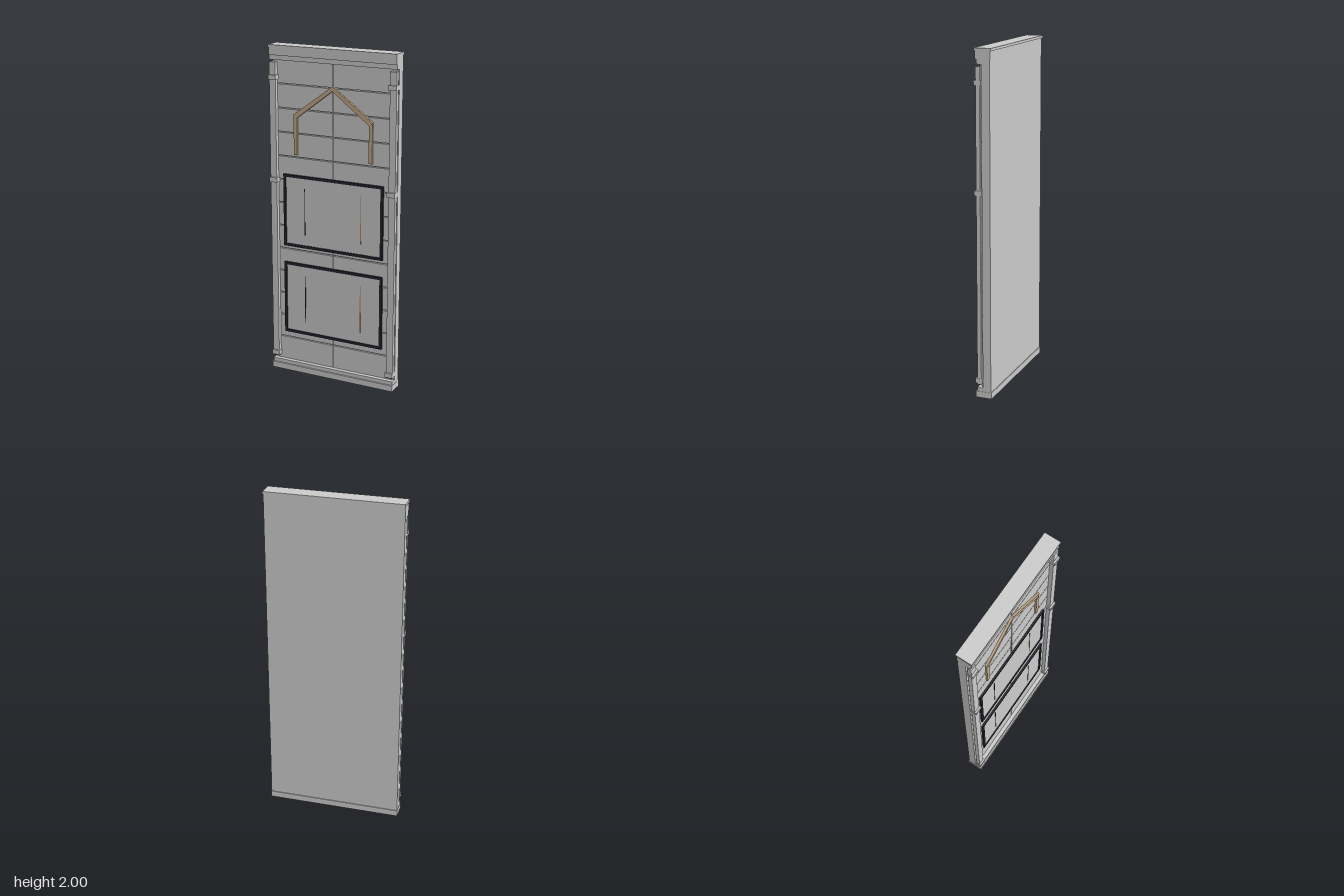
import * as THREE from 'three';

const grey = new THREE.MeshStandardMaterial({ color: 0xcccccc });
const dark = new THREE.MeshStandardMaterial({ color: 0x22252e });
const tan = new THREE.MeshStandardMaterial({ color: 0xc4ab88 });
const orange = new THREE.MeshStandardMaterial({ color: 0xb8864a });

export function createModel() {
  const model = new THREE.Group();

  // box given by its min and max on each axis
  function box(name, [x0, x1], [y0, y1], [z0, z1], material = grey) {
    const mesh = new THREE.Mesh(new THREE.BoxGeometry(x1 - x0, y1 - y0, z1 - z0), material);
    mesh.position.set((x0 + x1) / 2, (y0 + y1) / 2, (z0 + z1) / 2);
    mesh.name = name;
    model.add(mesh);
    return mesh;
  }

  // flat outline in x and y, extruded from z0 to z1
  function plate(name, points, hole, z0, z1, material) {
    const toVectors = list => list.map(p => new THREE.Vector2(...p));
    const shape = new THREE.Shape(toVectors(points));
    if (hole) shape.holes.push(new THREE.Path(toVectors(hole)));
    const geometry = new THREE.ExtrudeGeometry(shape, { depth: z1 - z0, bevelEnabled: false });
    const mesh = new THREE.Mesh(geometry, material);
    mesh.position.z = z0;
    mesh.name = name;
    model.add(mesh);
  }

  const rect = (x0, x1, y0, y1) => [[x0, y0], [x1, y0], [x1, y1], [x0, y1]];

  // wall slab
  box('wall', [-0.403, 0.403], [0.03, 1.95], [-0.045, 0.004]);

  // planks in two columns with open joints between the courses
  const joints = [0.058];
  for (let i = 0; i < 12; i++) joints.push(0.207 + i * 0.1425);
  joints.push(1.915);
  for (let i = 0; i < joints.length - 1; i++) {
    for (const [x0, x1] of [[-0.392, -0.003], [0.003, 0.392]]) {
      box('plank', [x0, x1], [joints[i] + 0.003, joints[i + 1] - 0.003], [0.003, 0.014]);
    }
  }

  // plinth and cornice
  box('plinth', [-0.405, 0.405], [0, 0.037], [-0.05, 0.047]);
  box('plinthStep', [-0.403, 0.403], [0.037, 0.06], [-0.045, 0.038]);
  box('cornice', [-0.405, 0.405], [1.985, 2], [-0.053, 0.047]);
  box('corniceBand', [-0.403, 0.403], [1.94, 1.985], [-0.047, 0.042]);
  box('corniceMoulding', [-0.403, 0.403], [1.913, 1.94], [-0.045, 0.034]);

  // pilasters with three straps each
  for (const side of [-1, 1]) {
    const span = (a, b) => (side > 0 ? [a, b] : [-b, -a]);
    box('pilaster', span(0.362, 0.403), [0.078, 1.9], [0.014, 0.038]);
    for (const y of [0.1, 1.202, 1.812]) {
      box('strap', span(0.356, 0.405), [y - 0.014, y + 0.014], [0.006, 0.049]);
    }
  }

  // framed panels with two thin inlay strips
  for (const [y0, y1] of [[0.245, 0.695], [0.798, 1.24]]) {
    plate('panelFrame', rect(-0.325, 0.322, y0, y1),
      rect(-0.309, 0.306, y0 + 0.016, y1 - 0.016).reverse(), 0.012, 0.026, dark);
    box('panel', [-0.31, 0.307], [y0 + 0.015, y1 - 0.015], [0.012, 0.02]);
    box('darkInlay', [-0.187, -0.183], [y0 + 0.08, y1 - 0.075], [0.018, 0.022], dark);
    box('orangeInlay', [0.179, 0.183], [y0 + 0.08, y1 - 0.075], [0.018, 0.022], orange);
  }

  // gabled trim: two sloping rails on two posts
  plate('gableRails', [
    [-0.255, 1.6], [-0.237, 1.578], [0, 1.758], [0.237, 1.578], [0.255, 1.6], [0, 1.785],
  ], null, 0.012, 0.027, tan);
  for (const side of [-1, 1]) {
    const x = side * 0.241;
    box('gablePost', [x - 0.011, x + 0.011], [1.363, 1.595], [0.012, 0.025], tan);
  }

  return model;
}
